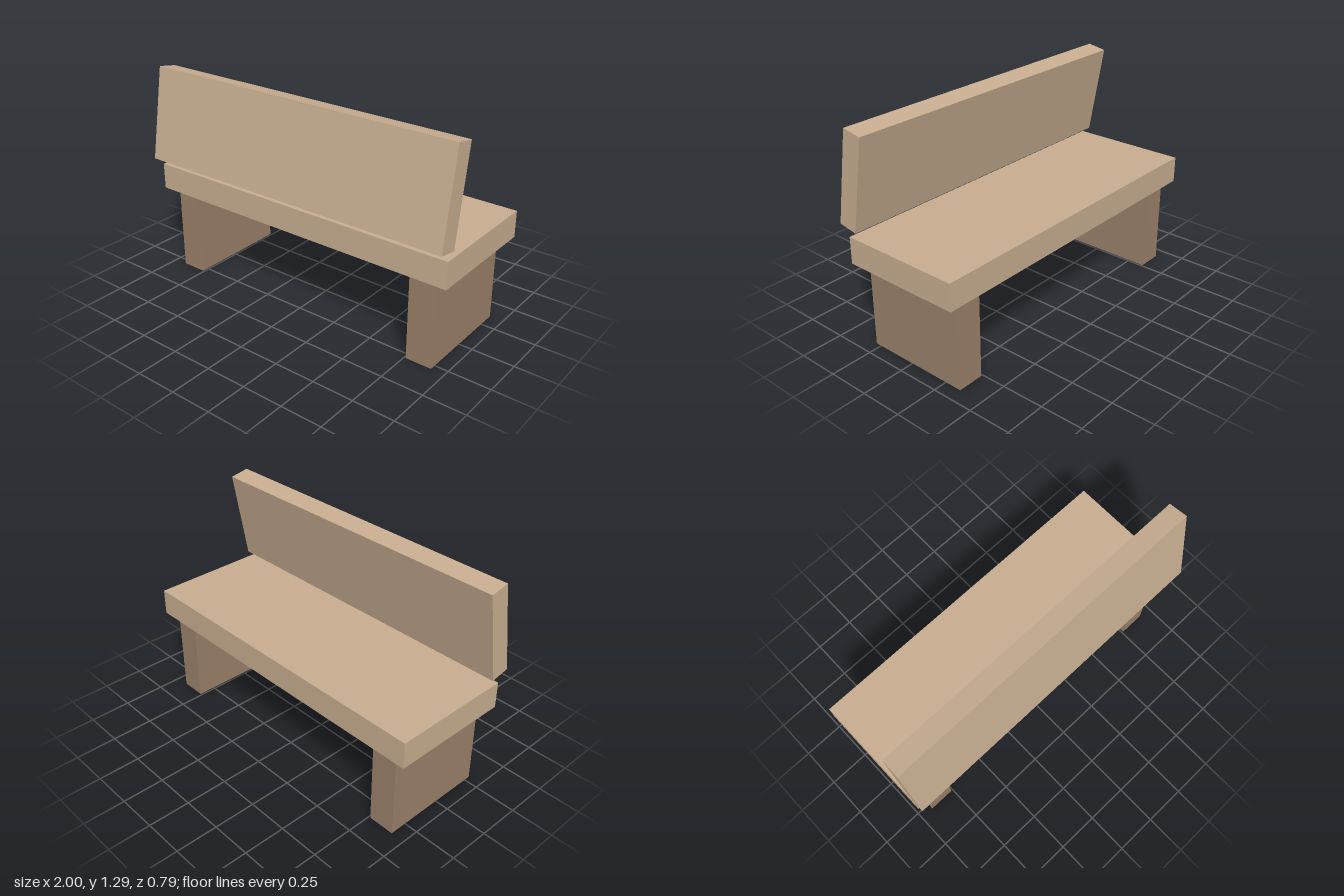
import * as THREE from 'three';

const lightWood = new THREE.MeshStandardMaterial({ color: 0xc9ae91 });
const darkWood = new THREE.MeshStandardMaterial({ color: 0x9c826a });

function board(name, size, position, material) {
  const mesh = new THREE.Mesh(new THREE.BoxGeometry(...size), material);
  mesh.name = name;
  mesh.position.set(...position);
  return mesh;
}

export function createModel() {
  const bench = new THREE.Group();
  bench.name = 'bench';

  // Seat slab
  bench.add(board('seat', [2, 0.158, 0.722], [0, 0.603, -0.032], lightWood));

  // Backrest, tilted 10 degrees and floating just above the seat
  const backrest = board('backrest', [2, 0.558, 0.118], [0, 1.003, 0.287], lightWood);
  backrest.rotation.x = -THREE.MathUtils.degToRad(10);
  bench.add(backrest);

  // Slab legs, mirrored
  for (const [name, side] of [['leftLeg', 1], ['rightLeg', -1]]) {
    bench.add(board(name, [0.157, 0.524, 0.64], [side * 0.839, 0.262, -0.033], darkWood));
  }

  return bench;
}
